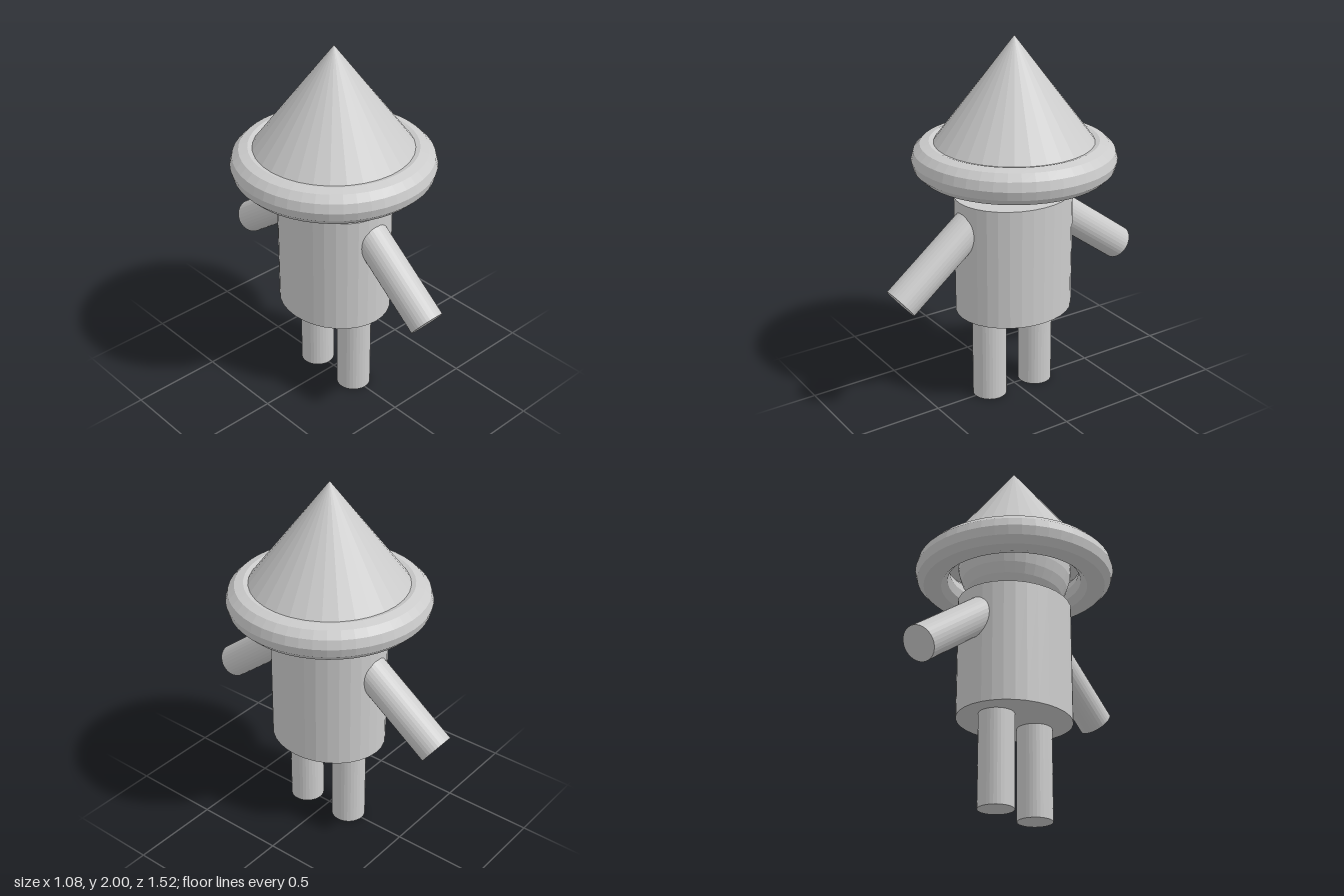
import * as THREE from 'three';

export function createModel() {
  const model = new THREE.Group();
  const material = new THREE.MeshStandardMaterial({ color: 0xcccccc, flatShading: true });

  function add(name, geometry, x, y, z) {
    const mesh = new THREE.Mesh(geometry, material);
    mesh.name = name;
    mesh.position.set(x, y, z);
    model.add(mesh);
    return mesh;
  }

  // Oval body
  const body = add('body', new THREE.CylinderGeometry(1, 1, 0.66, 32), 0, 0.83, 0.005);
  body.scale.set(0.288, 1, 0.328);

  // Oval head, mostly tucked under the hat
  const head = add('head', new THREE.SphereGeometry(1, 32, 16), 0, 1.4, 0.005);
  head.scale.set(0.29, 0.3, 0.335);

  // Hat: ring brim and pointed crown
  const brim = add('hatBrim', new THREE.TorusGeometry(0.445, 0.095, 12, 48), 0, 1.356, 0);
  brim.rotation.x = Math.PI / 2;
  add('hatCrown', new THREE.ConeGeometry(0.425, 0.56, 32), 0, 1.72, 0);

  // Legs, set along z and sunk slightly into the body
  const legHeight = 0.54;
  for (const [name, z] of [['frontLeg', 0.164], ['backLeg', -0.138]]) {
    add(name, new THREE.CylinderGeometry(0.094, 0.094, legHeight, 32), 0, legHeight / 2, z);
  }

  // Arms slope from the hand end up into the body
  const armLength = 0.58;
  const arms = [
    ['frontArm', 0.704, 0.689, -0.9],
    ['backArm', -0.707, 0.698, 0.945],
  ];
  for (const [name, handZ, handY, tilt] of arms) {
    const y = handY + Math.cos(tilt) * armLength / 2;
    const z = handZ + Math.sin(tilt) * armLength / 2;
    const arm = add(name, new THREE.CylinderGeometry(0.094, 0.094, armLength, 32), 0, y, z);
    arm.rotation.x = tilt;
  }

  return model;
}
